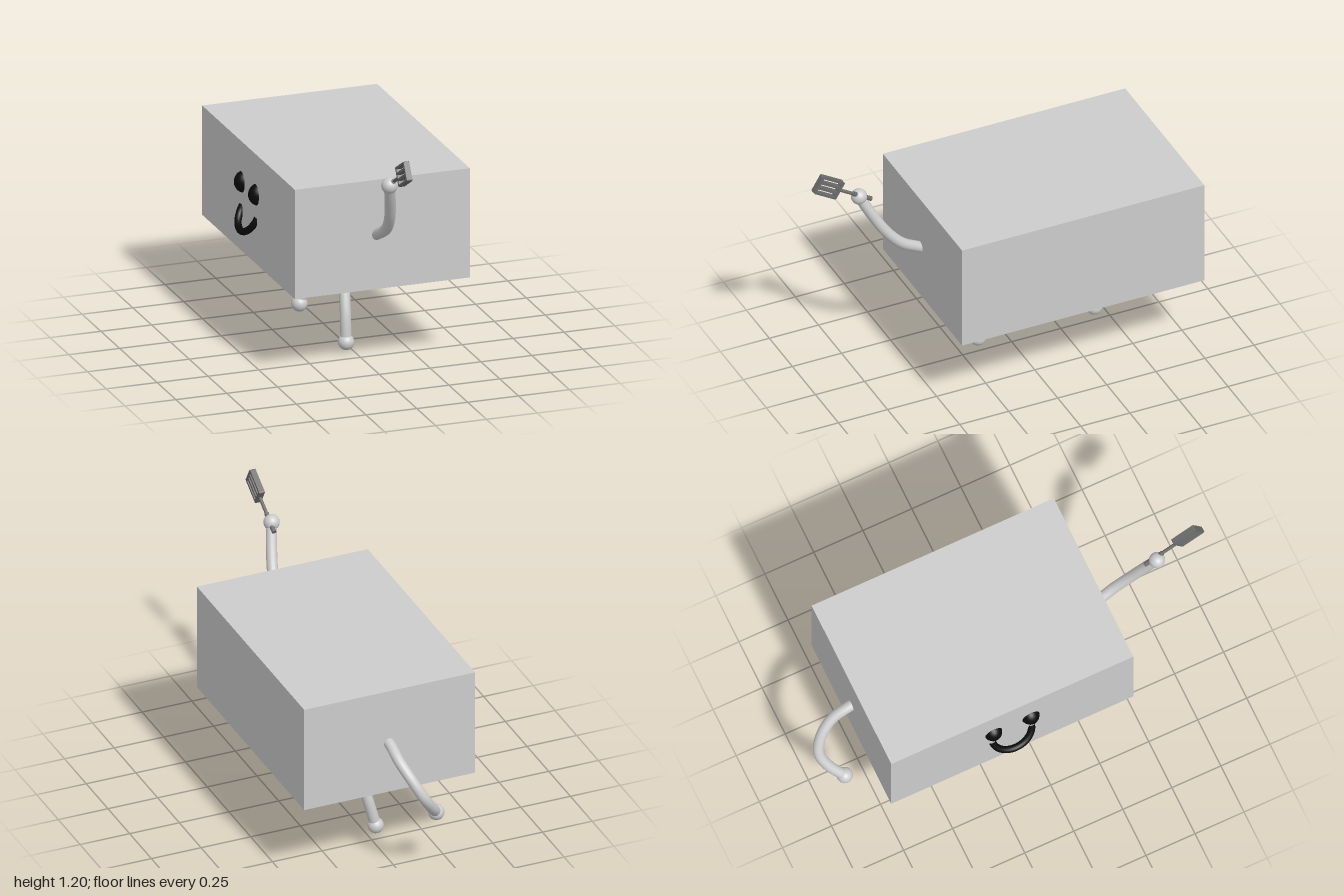
import * as THREE from 'three';

const grey = new THREE.MeshStandardMaterial({ color: 0xcccccc });
const black = new THREE.MeshStandardMaterial({ color: 0x0a0a0a });
const steel = new THREE.MeshStandardMaterial({ color: 0x6c6c6c });

function add(parent, name, geometry, material, position = [0, 0, 0]) {
  const mesh = new THREE.Mesh(geometry, material);
  mesh.name = name;
  mesh.position.set(...position);
  parent.add(mesh);
  return mesh;
}

const curveOf = (points) => new THREE.CatmullRomCurve3(points.map((p) => new THREE.Vector3(...p)));

// A bendy tube that starts inside the body and ends in a ball
function limb(parent, name, endName, points) {
  const group = new THREE.Group();
  group.name = name;
  add(group, name + 'Tube', new THREE.TubeGeometry(curveOf(points), 40, 0.026, 20), grey);
  add(group, endName, new THREE.SphereGeometry(0.038, 32, 20), grey, points[points.length - 1]);
  parent.add(group);
}

// Slotted blade and handle, built along +X and then turned to point forward and up
function spatula() {
  const group = new THREE.Group();
  group.name = 'spatula';
  const L = 0.066, W = 0.047, r = 0.008;
  const blade = new THREE.Shape();
  blade.moveTo(-L + r, -W);
  blade.lineTo(L - r, -W);
  blade.quadraticCurveTo(L, -W, L, -W + r);
  blade.lineTo(L, W - r);
  blade.quadraticCurveTo(L, W, L - r, W);
  blade.lineTo(-L + r, W);
  blade.quadraticCurveTo(-L, W, -L, W - r);
  blade.lineTo(-L, -W + r);
  blade.quadraticCurveTo(-L, -W, -L + r, -W);
  for (const y of [-0.028, 0, 0.028]) {
    const slot = new THREE.Path();
    slot.moveTo(-0.053, y - 0.008);
    slot.lineTo(-0.053, y + 0.008);
    slot.lineTo(0.053, y + 0.008);
    slot.lineTo(0.053, y - 0.008);
    slot.closePath();
    blade.holes.push(slot);
  }
  const bladeGeometry = new THREE.ExtrudeGeometry(blade, { depth: 0.028, bevelEnabled: false });
  add(group, 'spatulaBlade', bladeGeometry.translate(0, 0, -0.014), steel);
  const rod = (radius, x0, x1) => new THREE.CylinderGeometry(radius, radius, x1 - x0, 16)
    .rotateZ(Math.PI / 2).translate((x0 + x1) / 2, 0, 0);
  add(group, 'spatulaHandle', rod(0.008, -0.2, -0.06), steel);
  add(group, 'spatulaGrip', rod(0.011, -0.255, -0.15), steel);
  group.position.set(-0.034, 1.127, 0.919);
  group.rotation.set(0, -Math.PI / 2, 0.54);
  return group;
}

export function createModel() {
  const model = new THREE.Group();
  model.name = 'boxCharacter';

  add(model, 'body', new THREE.BoxGeometry(0.86, 0.535, 1.235), grey, [0.027, 0.677, -0.15]);

  // Face on the -x side: two bulging eyes and a smile tilted out of the wall
  for (const z of [-0.245, -0.055]) {
    const eye = add(model, 'eye', new THREE.SphereGeometry(1, 32, 20), black, [-0.385, 0.746, z]);
    eye.scale.set(0.053, 0.054, 0.046);
  }
  const smile = [];
  for (let i = 0; i <= 12; i++) {
    const a = Math.PI * i / 12, s = 0.1 * Math.sin(a);
    smile.push([-0.395 - 0.47 * s, 0.632 - 0.88 * s, -0.15 + 0.1 * Math.cos(a)]);
  }
  add(model, 'smile', new THREE.TubeGeometry(curveOf(smile), 40, 0.017, 16), black);

  // Arms
  limb(model, 'raisedArm', 'raisedHand', [
    [0, 0.66, 0.43], [0.004, 0.69, 0.49], [0.01, 0.735, 0.565],
    [0, 0.81, 0.637], [-0.02, 0.91, 0.7], [-0.045, 1.018, 0.757]]);
  limb(model, 'loweredArm', 'loweredHand', [
    [0.03, 0.675, -0.73], [0.028, 0.66, -0.79], [0.022, 0.62, -0.87], [-0.01, 0.55, -0.94],
    [-0.055, 0.465, -0.972], [-0.105, 0.39, -0.945], [-0.155, 0.322, -0.888]]);
  model.add(spatula());

  // Legs
  limb(model, 'frontLeg', 'frontFoot', [
    [0.02, 0.45, 0.052], [0.012, 0.4, 0.058], [-0.02, 0.3, 0.095], [-0.033, 0.18, 0.138], [-0.036, 0.05, 0.155]]);
  limb(model, 'backLeg', 'backFoot', [
    [0.02, 0.45, -0.325], [0.022, 0.4, -0.345], [0.018, 0.3, -0.4], [-0.01, 0.18, -0.43], [-0.045, 0.04, -0.442]]);

  return model;
}
